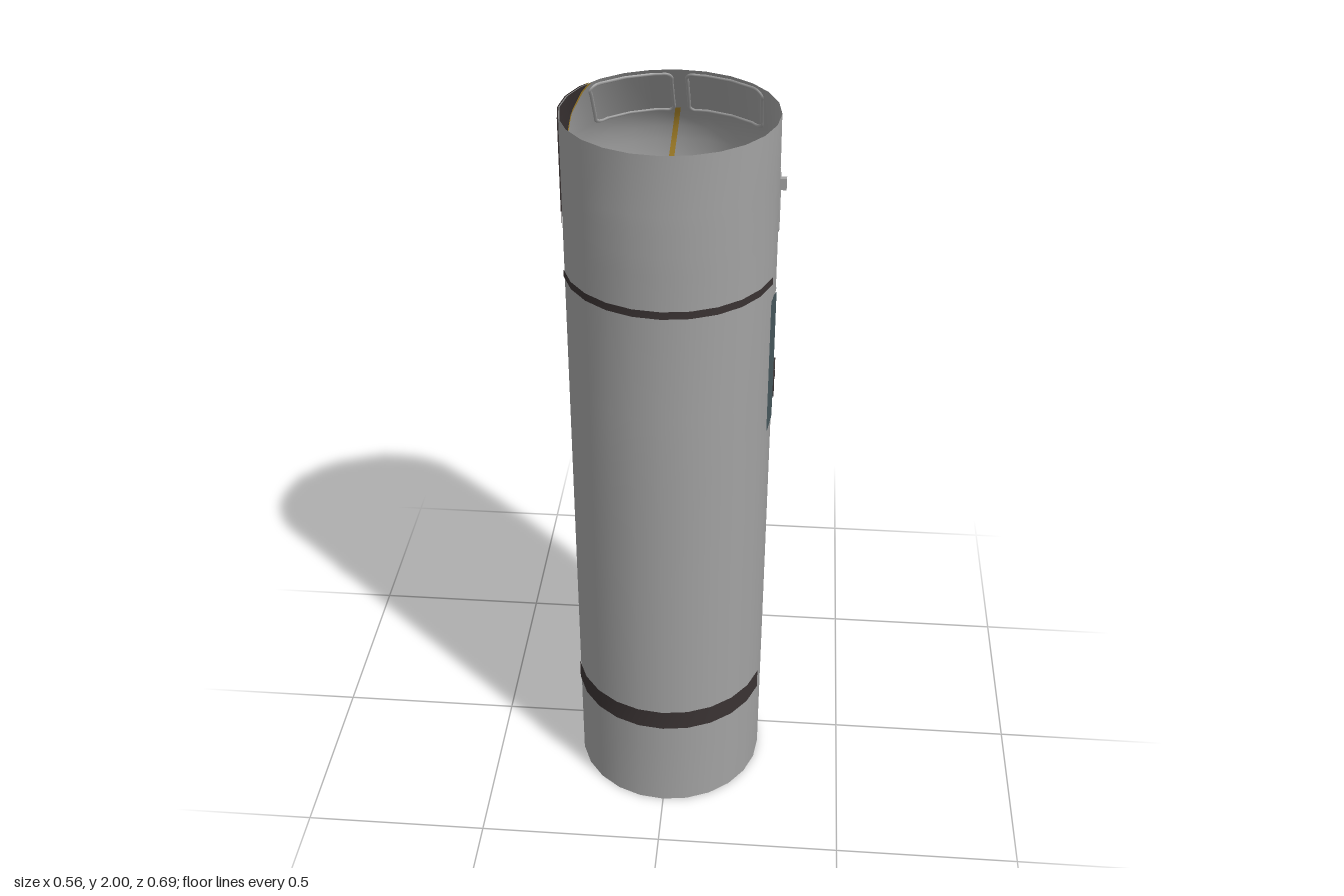
import * as THREE from 'three';

const R = 0.262, FRONT = 0.083, STEP = Math.PI / 12;
// back edge of the shell: [height, z]
const PROFILE = [[0, -0.179], [0.2, -0.218], [0.4, -0.253], [0.6, -0.284], [0.8, -0.31], [1, -0.33], [1.15, -0.34],
  [1.3, -0.346], [1.7, -0.346], [1.75, -0.343], [1.79, -0.333], [1.82, -0.32], [1.85, -0.3], [2, -0.18]];

const lerp = THREE.MathUtils.lerp;

// z of the centre of the rear half circle at height y
function rearCentre(y) {
  let i = 1;
  while (i < PROFILE.length - 1 && PROFILE[i][0] < y) i++;
  const [y0, z0] = PROFILE[i - 1], [y1, z1] = PROFILE[i];
  return lerp(z0, z1, (y - y0) / (y1 - y0)) + R;
}

// height of a 24-sided circle at distance d from its centre
function facet(d) {
  const k = Math.min(5, Math.floor(Math.asin(Math.min(1, Math.abs(d) / R)) / STEP + 1e-6));
  const a = k * STEP, b = a + STEP;
  const t = (Math.abs(d) / R - Math.sin(a)) / (Math.sin(b) - Math.sin(a));
  return R * lerp(Math.cos(a), Math.cos(b), t);
}

// points on the shell, found from the side (z, y) or from behind (x, y)
function onSide(z, y, off = 0) {
  const c = rearCentre(y);
  const d = z > FRONT ? z - FRONT : Math.min(0, z - c);
  return new THREE.Vector3(facet(d) + off, y, z + (off * d) / R);
}
function onBack(x, y, off = 0) {
  return new THREE.Vector3(x, y, rearCentre(y) - facet(x) - off);
}

// sheet of nu x nv quads from a rule p(u, v)
function sheet(nu, nv, p) {
  const pos = [], idx = [];
  for (let j = 0; j <= nv; j++)
    for (let i = 0; i <= nu; i++) pos.push(...p(i / nu, j / nv).toArray());
  for (let j = 0; j < nv; j++)
    for (let i = 0; i < nu; i++) {
      const a = j * (nu + 1) + i, b = a + nu + 1;
      idx.push(a, a + 1, b + 1, a, b + 1, b);
    }
  const g = new THREE.BufferGeometry();
  g.setAttribute('position', new THREE.Float32BufferAttribute(pos, 3));
  g.setIndex(idx);
  g.computeVertexNormals();
  return g;
}

// stadium-shaped open tube
function shellGeometry() {
  const pos = [], idx = [], n = 26;
  for (const [y] of PROFILE)
    for (let i = 0; i < n; i++) {
      const rear = i > 12;
      const a = (rear ? i - 1 : i) * STEP - Math.PI / 2;
      pos.push(R * Math.sin(a), y, R * Math.cos(a) + (rear ? rearCentre(y) : FRONT));
    }
  for (let j = 0; j < PROFILE.length - 1; j++)
    for (let i = 0; i < n; i++) {
      const a = j * n + i, b = j * n + (i + 1) % n;
      idx.push(a, b, b + n, a, b + n, a + n);
    }
  const g = new THREE.BufferGeometry();
  g.setAttribute('position', new THREE.Float32BufferAttribute(pos, 3));
  g.setIndex(idx);
  g.computeVertexNormals();
  return g;
}

// rounded raised rim along a closed outline laid on the shell
function rimGeometry(corners, place) {
  const pts = [];
  corners.forEach(([u0, v0], i) => {
    const [u1, v1] = corners[(i + 1) % corners.length];
    const len = Math.hypot(u1 - u0, v1 - v0), cut = 0.01 / len;
    const n = Math.max(2, Math.round(len / 0.02));
    for (let k = 0; k <= n; k++) {
      const t = lerp(cut, 1 - cut, k / n);
      pts.push(place(lerp(u0, u1, t), lerp(v0, v1, t)));
    }
  });
  return new THREE.TubeGeometry(new THREE.CatmullRomCurve3(pts, true), 140, 0.005, 6, true);
}

export function createModel() {
  const group = new THREE.Group();
  const material = (name, color) => {
    const m = new THREE.MeshStandardMaterial({ color, side: THREE.DoubleSide });
    m.name = name;
    return m;
  };
  const grey = material('hullGrey', 0xa2a2a2);
  const dark = material('darkBrown', 0x3a3333);
  const glass = material('slateBlue', 0x48595e);
  const gold = material('gold', 0xb08a2c);
  const add = (name, geometry, mat, x = 0, y = 0, z = 0) => {
    const m = new THREE.Mesh(geometry, mat);
    m.name = name;
    m.position.set(x, y, z);
    group.add(m);
    return m;
  };

  add('shell', shellGeometry(), grey);

  // window rims and small side lugs on both sides
  const windscreen = [[0.02, 1.985], [0.21, 1.985], [0.21, 1.85], [0.02, 1.85]];
  const sideWindow = [[-0.1, 1.775], [-0.15, 1.775], [-0.197, 1.72], [-0.197, 1.605], [-0.1, 1.605]];
  for (const s of [1, -1]) {
    const flip = (p) => p.setX(p.x * s);
    add('windscreenRim', rimGeometry(windscreen, (x, y) => flip(onBack(x, y))), grey);
    add('sideWindowRim', rimGeometry(sideWindow, (z, y) => flip(onSide(z, y))), grey);
    add('sideLug', new THREE.BoxGeometry(0.03, 0.03, 0.016), grey, s * 0.264, 1.76, -0.06);
  }

  // painted areas, laid on both faces of the shell
  const patchEdge = (v) => 0.045 - 0.11 * Math.pow(v, 1.3);
  for (const off of [0.003, -0.003]) {
    // bands around the front
    for (const [y0, y1] of [[0.28, 0.34], [1.59, 1.61]])
      add('frontBand', sheet(10, 1, (u, v) => {
        const a = (u * 10 - 5) * STEP;
        return new THREE.Vector3((R + off) * Math.sin(a), lerp(y0, y1, v), FRONT + (R + off) * Math.cos(a));
      }), dark);
    // dark upper panel with a gold edge
    const side = (z, y) => {
      const p = onSide(z, y, off);
      return p.setX(-p.x);
    };
    add('upperPanel', sheet(24, 16, (u, v) => side(lerp(0.15, patchEdge(v), u), lerp(1.73, 2, v))), dark);
    add('panelEdge', sheet(2, 16, (u, v) => side(patchEdge(v) - 0.01 * u, lerp(1.73, 2, v))), gold);
    // gold stripe down the back
    add('backStripe', sheet(2, 16, (u, v) =>
      onBack(lerp(-0.045, -0.01, v) + 0.014 * (u - 0.5), lerp(1.59, 1.855, v), off)), gold);
    // door with a sloping top
    const doorTop = (z) => Math.min(1.545 + (0.155 - z) * 0.02, 1.505 + z * 0.33, 1.485 + z * 2);
    add('door', sheet(24, 4, (u, v) => {
      const z = 0.155 * (1 - u);
      return onSide(z, lerp(1.165, doorTop(z), v), off);
    }), glass);
  }

  // door latch and grab rail
  const latch = add('doorLatch', new THREE.SphereGeometry(1, 12, 8), dark, R + 0.003, 1.27, 0.045);
  latch.scale.set(0.005, 0.014, 0.024);
  add('grabRail', new THREE.BoxGeometry(0.008, 0.016, 0.096), dark, R + 0.002, 1.222, -0.058);
  add('grabRailFrontLeg', new THREE.BoxGeometry(0.008, 0.055, 0.016), dark, R + 0.002, 1.192, -0.022);
  add('grabRailRearLeg', new THREE.BoxGeometry(0.008, 0.055, 0.014), dark, R + 0.001, 1.192, -0.098);

  return group;
}
